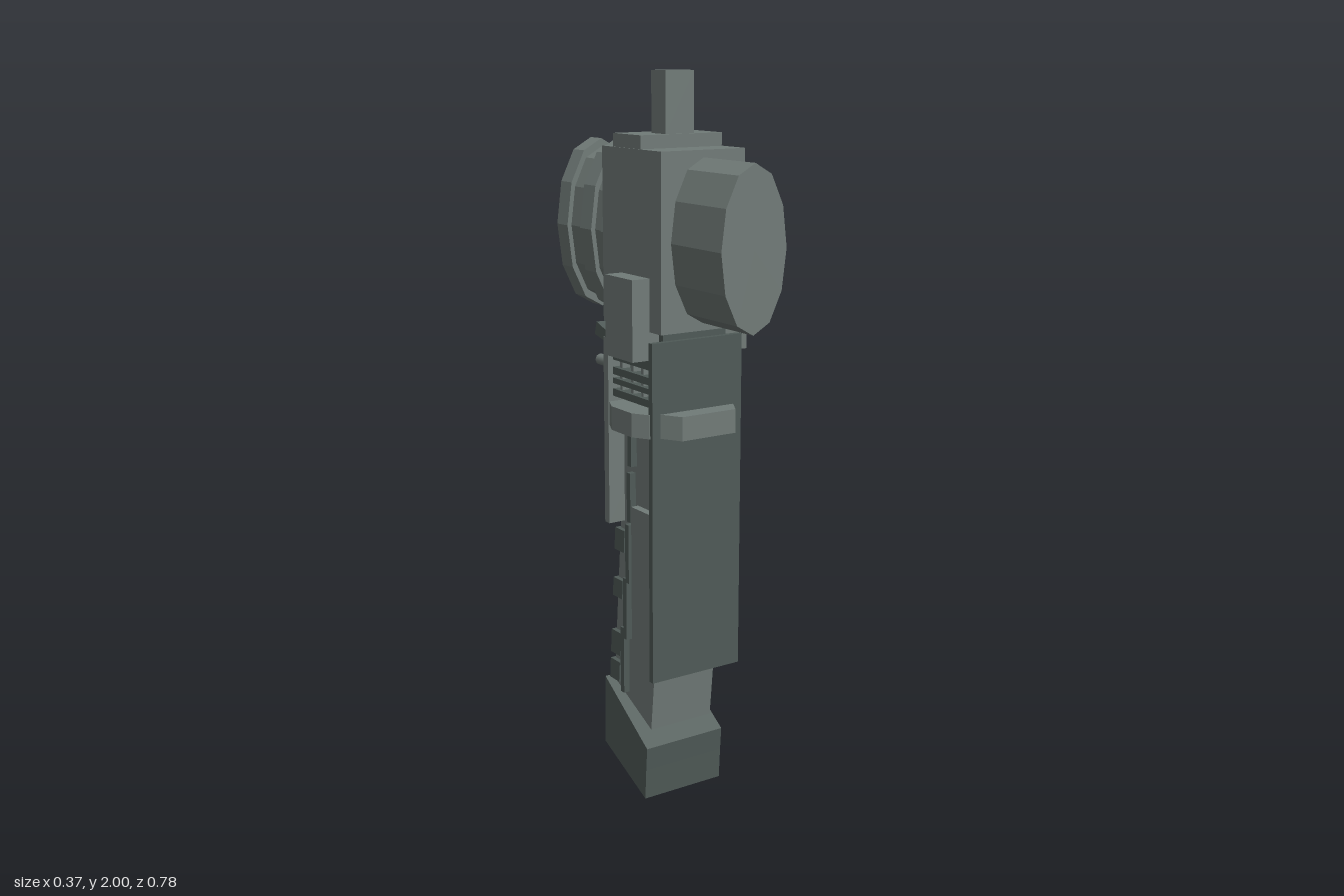
import * as THREE from 'three';

export function createModel() {
  const model = new THREE.Group();
  const mat = (name, color) => {
    const m = new THREE.MeshStandardMaterial({ color });
    m.name = name;
    return m;
  };
  const grey = mat('grey', 0x717b78);
  const dark = mat('darkGrey', 0x4f5a57);
  const red = mat('red', 0xcc614c);

  const add = (name, geometry, material) => {
    const mesh = new THREE.Mesh(geometry, material);
    mesh.name = name;
    model.add(mesh);
    return mesh;
  };
  // Box given by its limits on each axis
  const box = (name, material, x0, x1, y0, y1, z0, z1) => {
    const mesh = add(name, new THREE.BoxGeometry(x1 - x0, y1 - y0, z1 - z0), material);
    mesh.position.set((x0 + x1) / 2, (y0 + y1) / 2, (z0 + z1) / 2);
    return mesh;
  };
  const extrude = (points, depth) => new THREE.ExtrudeGeometry(
    new THREE.Shape(points.map(p => new THREE.Vector2(...p))), { depth, bevelEnabled: false });
  // Side profile of [z, y] points spanning x0 to x1
  const profile = (name, material, points, x0, x1) => {
    const g = extrude(points, x1 - x0);
    g.translate(0, 0, -x1);
    g.rotateY(-Math.PI / 2);
    return add(name, g, material);
  };
  // Plan outline of [x, z] points spanning y0 to y1
  const plan = (name, material, points, y0, y1) => {
    const g = extrude(points.map(([x, z]) => [x, -z]), y1 - y0);
    g.rotateX(-Math.PI / 2);
    g.translate(0, y0, 0);
    return add(name, g, material);
  };
  // Twelve-sided oval drum along z
  const drum = (name, rx, ry, z0, z1) => {
    const g = new THREE.CylinderGeometry(1, 1, z1 - z0, 12).toNonIndexed();
    g.rotateX(Math.PI / 2);
    g.scale(rx, ry, 1);
    g.translate(0, 1.573, (z0 + z1) / 2);
    g.computeVertexNormals();
    add(name, g, grey);
  };

  // Head
  box('headBlock', grey, -0.13, 0.13, 1.34, 1.805, -0.115, 0.168);
  box('topPlate', grey, -0.127, 0.127, 1.805, 1.84, -0.065, 0.068);
  box('topPost', grey, -0.045, 0.043, 1.84, 2, -0.007, 0.06);
  drum('frontDrum', 0.1, 0.213, 0.168, 0.388);
  drum('rearDrum', 0.1, 0.213, -0.385, -0.115);
  for (const [z0, z1] of [[-0.155, -0.115], [-0.264, -0.205], [-0.39, -0.333]])
    drum('rearRing', 0.113, 0.236, z0, z1);

  // Neck with vents, front and rear plates
  box('neckCore', dark, -0.1, 0.1, 1.04, 1.34, -0.06, 0.13);
  box('frontPlate', dark, -0.143, 0.143, 0.375, 1.315, 0.128, 0.145);
  box('rearPlate', grey, -0.15, 0.15, 0.78, 1.3, -0.085, -0.062);
  profile('rearHood', dark,
    [[-0.02, 1.3], [-0.03, 1.275], [-0.135, 1.3], [-0.125, 1.335]], -0.147, 0.147);

  // Clamp band around the neck
  plan('frontBand', grey, [[-0.12, 0.14], [-0.085, 0.2], [0.085, 0.2], [0.12, 0.14]], 1.06, 1.125);
  plan('rearBand', grey, [[-0.12, -0.08], [0.12, -0.08], [0.085, -0.145], [-0.085, -0.145]], 1.06, 1.125);

  for (const s of [-1, 1]) {
    const side = (name, material, x0, x1, ...rest) =>
      box(name, material, Math.min(s * x0, s * x1), Math.max(s * x0, s * x1), ...rest);
    side('sideBlock', grey, 0.1, 0.183, 1.265, 1.48, -0.02, 0.113);
    plan('sideBand', grey,
      [[s * 0.1, 0.135], [s * 0.145, 0.135], [s * 0.172, 0.09], [s * 0.172, -0.01],
        [s * 0.145, -0.066], [s * 0.1, -0.066]], 1.06, 1.125);
    for (const [y0, y1] of [[1.24, 1.265], [1.2, 1.22], [1.175, 1.19], [1.14, 1.16]])
      side('ventBar', dark, 0.1, 0.135, y0, y1, -0.062, 0.128);
    for (const z of [-0.035, 0.02, 0.07])
      side('ventPost', grey, 0.1, 0.125, 1.14, 1.265, z - 0.006, z + 0.006);
    side('gripPanel', grey, 0.1, 0.123, 0.545, 0.84, 0.007, 0.116);
    // Stepped strips running down the grip
    for (const [y0, y1, z] of [[0.95, 1.05, -0.008], [0.79, 0.93, -0.014], [0.61, 0.78, -0.024],
      [0.44, 0.62, -0.037], [0.275, 0.47, -0.052]])
      side('gripStrip', dark, 0.1, 0.118, y0, y1, z - 0.009, z + 0.009);
  }

  // Grip
  profile('grip', grey,
    [[0.122, 1.06], [0.12, 0.5], [0.1, 0.5], [0.07, 0.2], [-0.122, 0.29], [-0.082, 0.78], [-0.065, 1.06]],
    -0.1, 0.1);
  for (const [y0, y1] of [[0.69, 0.755], [0.55, 0.605], [0.375, 0.445], [0.295, 0.355]]) {
    const back = y => -0.082 - (0.78 - y) * 0.075;
    profile('gripRib', dark,
      [[back(y1) + 0.04, y1], [back(y0) + 0.04, y0], [back(y0) - 0.009, y0], [back(y1) - 0.009, y1]],
      -0.113, 0.113);
  }

  // Slanted foot of the grip, in two layers
  profile('footTop', dark, [[0.09, 0.155], [0.085, 0.088], [-0.133, 0.185], [-0.13, 0.298]], -0.127, 0.127);
  profile('footBottom', dark, [[0.085, 0.088], [0.08, 0], [-0.135, 0.095], [-0.133, 0.185]], -0.127, 0.127);

  // Rear plate details: comb, buttons and rod
  for (let i = 0; i < 12; i++) {
    const x = -0.099 + i * 0.018;
    box('combTooth', dark, x - 0.006, x + 0.006, 0.835, 0.885, -0.09, -0.084);
  }
  const rodPart = (name, material, x, r, z0, z1) => {
    const g = new THREE.CylinderGeometry(r, r, z1 - z0, 8);
    g.rotateX(Math.PI / 2);
    add(name, g, material).position.set(x, 1.178, (z0 + z1) / 2);
  };
  rodPart('button', red, 0.07, 0.025, -0.11, -0.084);
  rodPart('rodCollar', red, 0, 0.023, -0.108, -0.084);
  rodPart('rod', grey, 0, 0.017, -0.35, -0.084);

  return model;
}
